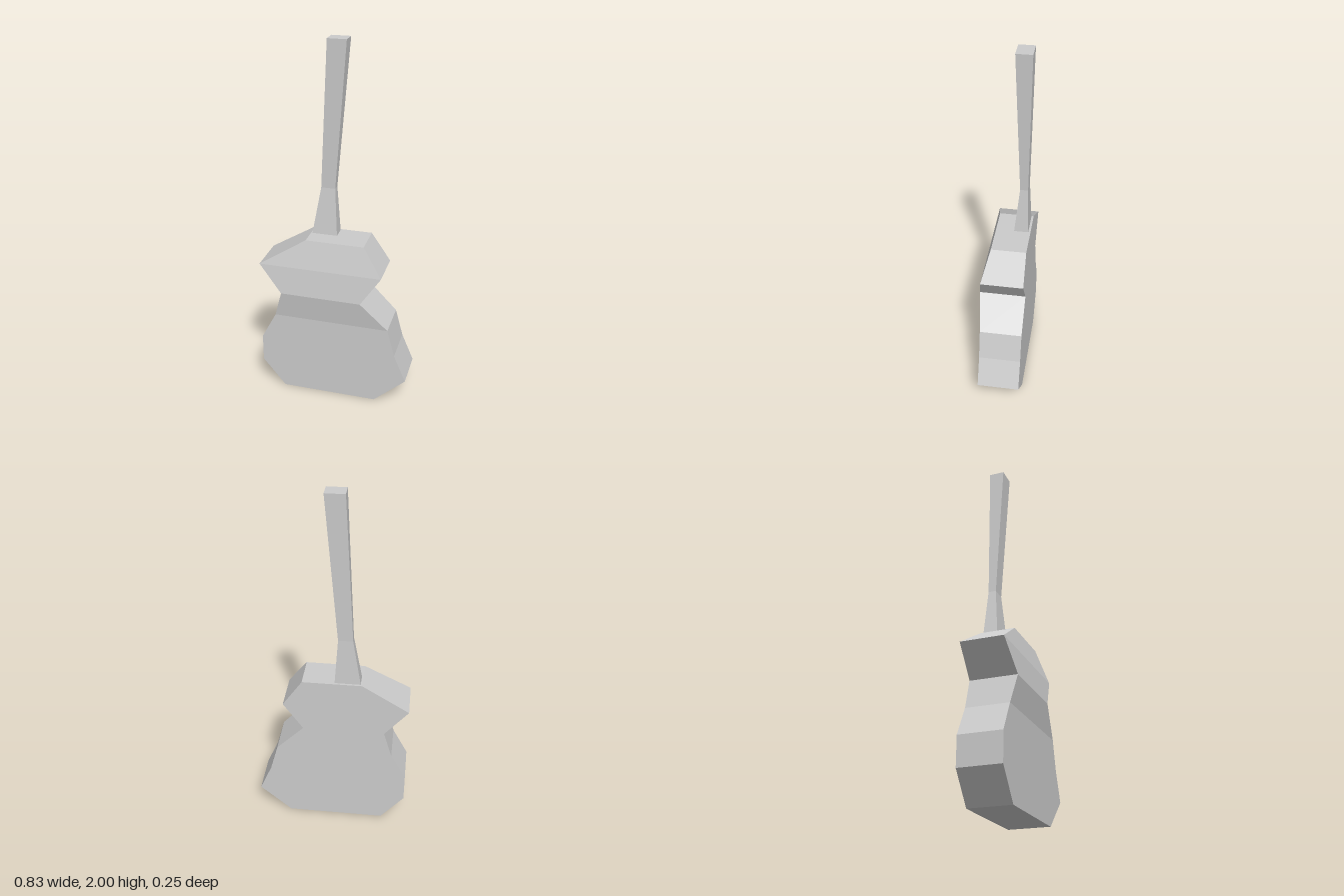
import * as THREE from 'three';

// Lofts rectangular sections [y, xMin, xMax, zBack, zFront], bottom to top, with capped ends
function loft(name, sections, material) {
  const rings = sections.map(([y, x0, x1, zb, zf]) => [
    [x0, y, zf], [x1, y, zf], [x1, y, zb], [x0, y, zb],
  ]);
  const positions = [];
  const quad = (a, b, c, d) => positions.push(...a, ...b, ...c, ...a, ...c, ...d);
  for (let i = 0; i < rings.length - 1; i++) {
    const low = rings[i], high = rings[i + 1];
    for (let j = 0; j < 4; j++) {
      const k = (j + 1) % 4;
      quad(low[j], low[k], high[k], high[j]);
    }
  }
  quad(...rings[rings.length - 1]);
  quad(...[...rings[0]].reverse());

  const geometry = new THREE.BufferGeometry();
  geometry.setAttribute('position', new THREE.Float32BufferAttribute(positions, 3));
  geometry.computeVertexNormals();
  const mesh = new THREE.Mesh(geometry, material);
  mesh.name = name;
  return mesh;
}

export function createModel() {
  const group = new THREE.Group();
  group.name = 'guitar';
  const material = new THREE.MeshStandardMaterial({ color: 0xcccccc, flatShading: true });

  // Waisted body with a flat back
  const back = -0.127;
  group.add(loft('body', [
    [0, -0.29, 0.242, back, 0.103],
    [0.157, -0.418, 0.416, back, 0.103],
    [0.313, -0.418, 0.35, back, 0.103],
    [0.47, -0.335, 0.308, back, 0.103],
    [0.625, -0.29, 0.157, back, 0.126],
    [0.781, -0.418, 0.265, back, 0.103],
    [0.937, -0.163, 0.158, back, 0.061],
  ], material));

  // Leaning neck, pinched above its foot
  group.add(loft('neck', [
    [0.937, -0.155, -0.016, -0.115, -0.038],
    [1.2, -0.111, -0.033, -0.108, -0.066],
    [2, -0.069, 0.033, -0.127, -0.044],
  ], material));

  return group;
}
